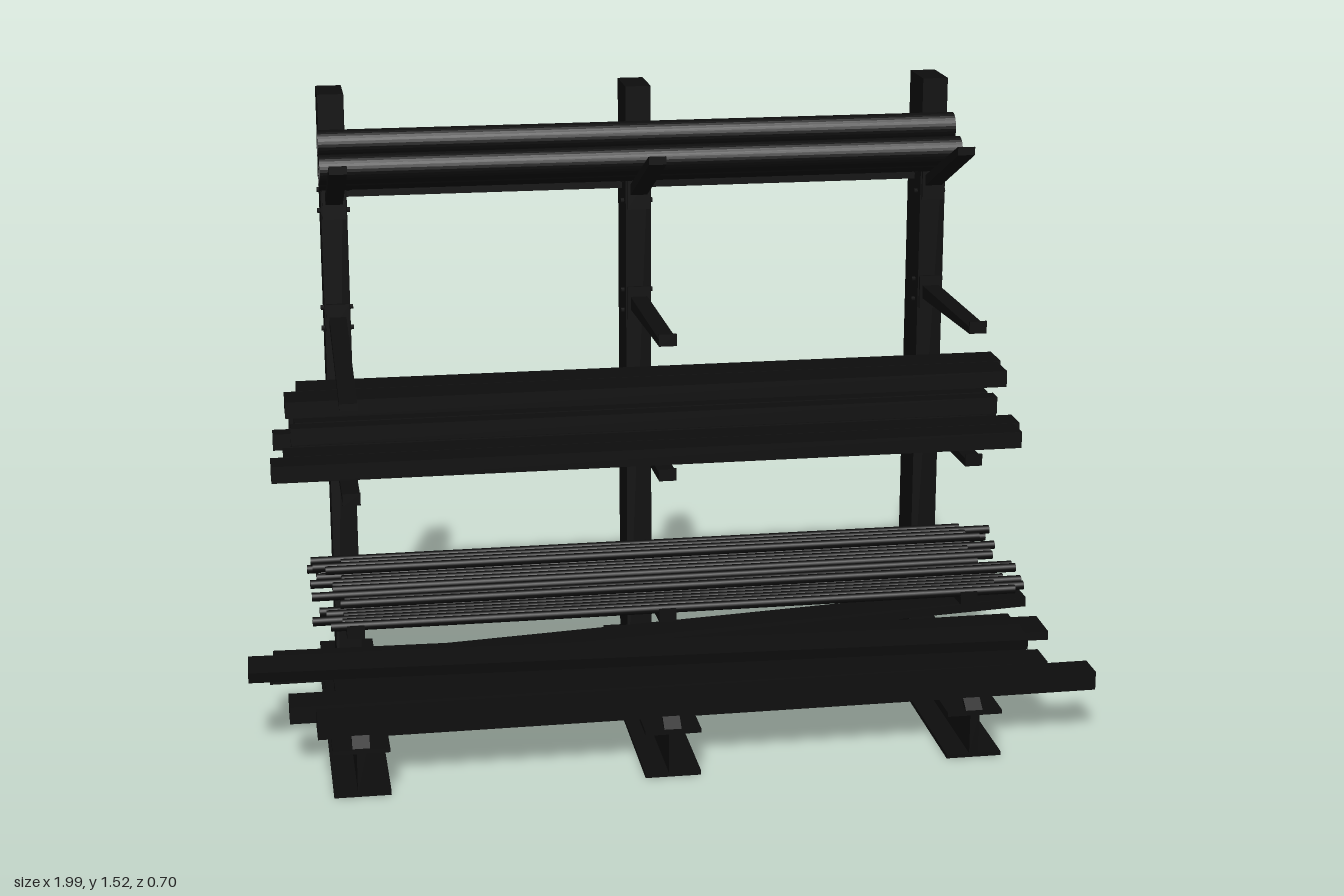
import * as THREE from 'three';

const COLUMNS = [-0.755, -0.04, 0.675];
const BACK = -0.175; // front face of the columns

export function createModel() {
  const root = new THREE.Group();
  const mat = new THREE.MeshStandardMaterial({ color: 0x0d0d0d });
  const openMat = new THREE.MeshStandardMaterial({ color: 0x0d0d0d, side: THREE.DoubleSide });

  const add = (name, geo, x, y, z, parent = root, m = mat) => {
    const mesh = new THREE.Mesh(geo, m);
    mesh.name = name;
    mesh.position.set(x, y, z);
    parent.add(mesh);
    return mesh;
  };
  const box = (name, w, h, d, x, y, z, parent) =>
    add(name, new THREE.BoxGeometry(w, h, d), x, y, z, parent);

  // Bar lying between two points given as [x, y, z]
  const bar = (name, a, b, h, d, roll = 0) => {
    const p = new THREE.Vector3(...a), q = new THREE.Vector3(...b);
    const mesh = box(name, p.distanceTo(q), h, d, 0, 0, 0);
    mesh.position.copy(p).add(q).multiplyScalar(0.5);
    const along = q.sub(p).normalize();
    mesh.quaternion.setFromUnitVectors(new THREE.Vector3(1, 0, 0), along);
    mesh.rotateX(roll);
    return mesh;
  };

  // Hollow section running along x, from a shape in the (z, y) plane
  const hollow = (name, shape, x0, x1, y, z) => {
    const geo = new THREE.ExtrudeGeometry(shape, { depth: x1 - x0, bevelEnabled: false, curveSegments: 16 });
    geo.rotateY(Math.PI / 2);
    return add(name, geo, x0, y, z, root, openMat);
  };
  const ring = (r, t) => {
    const s = new THREE.Shape().absarc(0, 0, r, 0, Math.PI * 2);
    s.holes.push(new THREE.Path().absarc(0, 0, r - t, 0, Math.PI * 2));
    return s;
  };
  const squareRing = (a, t) => {
    const pts = (k) => [[-k, -k], [k, -k], [k, k], [-k, k]].map((p) => new THREE.Vector2(...p));
    const s = new THREE.Shape(pts(a));
    s.holes.push(new THREE.Path(pts(a - t)));
    return s;
  };

  // Tapered arm from the column out to its tip, with a small end stop
  const arm = (x, y0, zTip, yTip, h0, h1, stop) => {
    const s = new THREE.Shape([
      [BACK - 0.01, y0 - h0 / 2], [zTip, yTip - h1 / 2], [zTip, yTip + h1 / 2 + stop],
      [zTip - 0.006, yTip + h1 / 2 + stop], [zTip - 0.006, yTip + h1 / 2], [BACK - 0.01, y0 + h0 / 2],
    ].map((p) => new THREE.Vector2(...p)));
    const geo = new THREE.ExtrudeGeometry(s, { depth: 0.04, bevelEnabled: false });
    geo.rotateY(-Math.PI / 2);
    add('arm', geo, x + 0.02, 0, 0);
    // Mounting plate and through bolts
    box('armPlate', 0.054, 0.08, 0.012, x, y0, BACK + 0.002);
    for (const dy of [-0.025, 0.025]) {
      const bolt = new THREE.CylinderGeometry(0.006, 0.006, 0.076, 6);
      bolt.rotateZ(Math.PI / 2);
      add('armBolt', bolt, x, y0 + dy, BACK - 0.03);
    }
  };

  // Uprights on I-section feet
  COLUMNS.forEach((x, i) => {
    box('column', 0.06, 1.51, 0.125, x, 0.765, -0.2375);
    const foot = new THREE.Group();
    foot.name = 'foot';
    root.add(foot);
    box('footBottomFlange', 0.13, 0.01, 0.7, x, 0.005, -0.003, foot);
    box('footTopFlange', 0.13, 0.01, 0.7, x, 0.11, -0.003, foot);
    box('footWeb', 0.022, 0.1, 0.7, x, 0.057, -0.003, foot);
    for (const y of [0.035, 0.085]) for (const z of [-0.2, -0.275]) {
      const bolt = new THREE.CylinderGeometry(0.008, 0.008, 0.08, 6);
      bolt.rotateZ(Math.PI / 2);
      add('footBolt', bolt, x, y, z, foot);
    }
    const stop = box('footStop', 0.04, 0.01, 0.04, x, 0.12, 0.325, foot);
    stop.rotation.x = 0.6;

    arm(x, 1.268, 0.12, 1.4, 0.026, 0.018, 0);
    if (i === 0) arm(x, 0.985, 0.255, 0.895, 0.026, 0.016, 0);
    else arm(x, 1.0, 0.265, 1.015, 0.032, 0.016, 0.012);
    arm(x, 0.692, 0.265, i === 0 ? 0.678 : 0.7, 0.034, 0.018, 0.01);
    arm(x, 0.345, 0.265, 0.36, 0.036, 0.018, 0.012);
  });

  // Horizontal braces between uprights
  for (const y of [0.32, 0.78, 1.29])
    for (let i = 0; i < 2; i++)
      box('brace', 0.67, 0.045, 0.014, (COLUMNS[i] + COLUMNS[i + 1]) / 2, y, -0.24);

  // Large pipes on the sloped top arms
  for (const [y, z] of [[1.41, -0.14], [1.365, -0.072], [1.338, -0.139]])
    hollow('pipe', ring(0.034, 0.003), -0.79, 0.71, y, z);

  // Timber and square tubes on the middle level: [z, y, depth, x0, x1]
  for (const [z, y, d, x0, x1] of [
    [0.19, 0.736, 0.07, -0.93, 0.8], [0.118, 0.736, 0.07, -0.9, 0.815],
    [-0.005, 0.736, 0.03, -0.87, 0.79], [-0.048, 0.736, 0.04, -0.92, 0.81],
    [-0.008, 0.779, 0.078, -0.87, 0.77], [-0.087, 0.779, 0.076, -0.88, 0.76],
    [-0.027, 0.825, 0.09, -0.89, 0.82], [-0.118, 0.825, 0.088, -0.86, 0.83],
  ]) box('plank', x1 - x0, 0.039, d, (x0 + x1) / 2, y, z);
  for (const [z, y] of [[0.055, 0.736], [0.03, 0.736], [-0.093, 0.736], [-0.141, 0.736], [0.06, 0.779]])
    hollow('squareTube', squareRing(0.02, 0.003), -0.88, 0.78, y, z);

  // Thin rods on the lower level
  const rods = [0.245, 0.223, 0.204, 0.184, 0.164, 0.144, 0.08, 0.04, 0, -0.024,
    -0.048, -0.07, -0.092, -0.114, -0.135, -0.156].map((z) => [z, 0.376]);
  rods.push(...[0.156, -0.08, -0.104, -0.128, -0.152].map((z) => [z, 0.397]));
  rods.forEach(([z, y], i) => {
    const geo = new THREE.CylinderGeometry(0.0105, 0.0105, 1.6, 10);
    geo.rotateZ(Math.PI / 2);
    add('rod', geo, -0.01 + 0.04 * Math.sin(i * 2.4), y, z);
  });

  // Loose beams resting on the feet
  bar('beam', [-0.85, 0.138, 0.24], [0.99, 0.142, 0.235], 0.045, 0.075);
  bar('beam', [-0.91, 0.138, 0.135], [0.9, 0.138, 0.135], 0.042, 0.085);
  bar('beam', [-0.95, 0.135, -0.12], [0.9, 0.135, -0.13], 0.04, 0.08);
  bar('beam', [-0.8, 0.138, 0.035], [0.88, 0.138, 0.02], 0.018, 0.1);
  bar('beam', [-0.94, 0.162, -0.1], [0.96, 0.15, -0.07], 0.022, 0.11);
  bar('beam', [-1, 0.2, 0.03], [0.87, 0.185, 0.07], 0.026, 0.085, 0.12);
  bar('beam', [-0.93, 0.165, -0.04], [0.9, 0.24, -0.065], 0.024, 0.085);
  return root;
}
